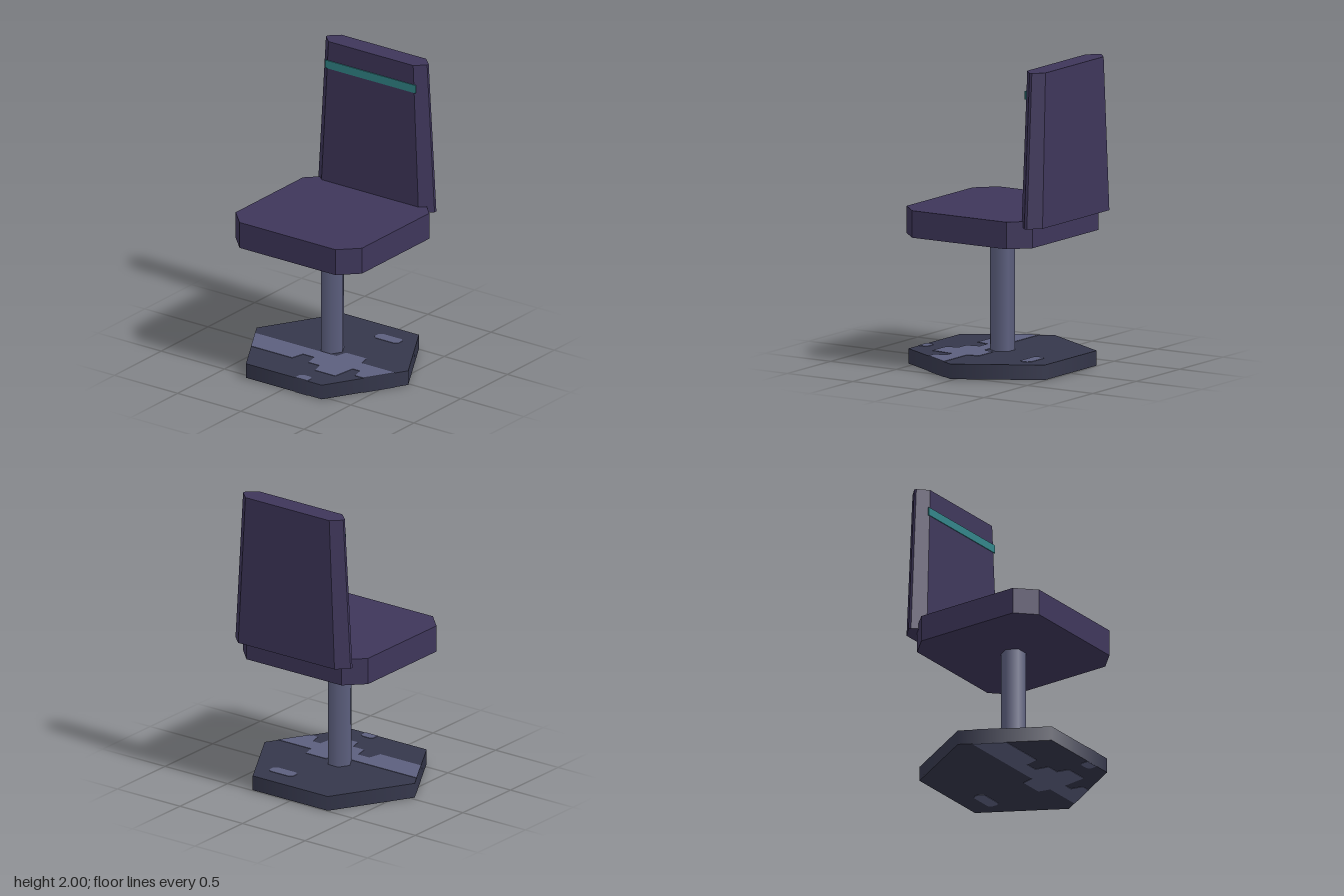
import * as THREE from 'three';

const mat = (name, color) => {
  const m = new THREE.MeshStandardMaterial({ color });
  m.name = name;
  return m;
};

// Upright prism from an outline of [x, z] points, standing on y0
function slab(points, y0, height) {
  const shape = new THREE.Shape(points.map(([x, z]) => new THREE.Vector2(x, -z)));
  const g = new THREE.ExtrudeGeometry(shape, { depth: height, bevelEnabled: false });
  g.rotateX(-Math.PI / 2);
  g.translate(0, y0, 0);
  return g;
}

// Rectangle outline with cut corners
function cutRect(x0, x1, z0, z1, cx, cz = cx) {
  return [
    [x0 + cx, z0], [x1 - cx, z0], [x1, z0 + cz], [x1, z1 - cz],
    [x1 - cx, z1], [x0 + cx, z1], [x0, z1 - cz], [x0, z0 + cz],
  ];
}

// Six-sided column with corners on the x axis
function hexColumn(radius, y0, y1) {
  const g = new THREE.CylinderGeometry(radius, radius, y1 - y0, 6, 1, false, Math.PI / 6);
  g.translate(0, (y0 + y1) / 2, 0);
  return g;
}

export function createModel() {
  const group = new THREE.Group();
  group.name = 'chair';
  const purple = mat('purple upholstery', 0x3e365a);
  const dark = mat('dark metal', 0x35374b);
  const light = mat('light metal', 0x5c5f7e);
  const teal = mat('teal trim', 0x328488);

  const add = (name, geometry, material, parent = group) => {
    const mesh = new THREE.Mesh(geometry, material);
    mesh.name = name;
    parent.add(mesh);
    return mesh;
  };

  // Seat cushion
  add('seat', slab(cutRect(-0.5, 0.5, -0.46, 0.5, 0.12), 0.865, 0.175), purple);

  // Backrest, tapering towards the top
  const back = slab(cutRect(-0.46, 0.46, -0.08, 0.08, 0.075, 0.07), 1, 1);
  const p = back.attributes.position;
  for (let i = 0; i < p.count; i++) {
    const s = 1 - 0.13 * (p.getY(i) - 1);
    p.setX(i, p.getX(i) * s);
    p.setZ(i, p.getZ(i) * s);
  }
  back.computeVertexNormals();
  add('backrest', back, purple).position.z = -0.46;

  // Trim across the backrest
  const trim = add('backrestTrim', new THREE.BoxGeometry(0.715, 0.054, 0.008), teal);
  trim.position.set(0, 1.843, -0.387);

  // Pedestal
  const pedestal = new THREE.Group();
  pedestal.name = 'pedestal';
  pedestal.position.z = 0.02;
  group.add(pedestal);
  add('post', hexColumn(0.08, 0.1, 0.87), light, pedestal);
  add('base', hexColumn(0.6, 0.003, 0.1), dark, pedestal);

  // Worn patches on the upper and lower faces of the base
  const patches = [
    [[-0.554, 0.08], [0.09, 0.08], [0.11, 0], [0.27, 0], [0.29, 0.08], [0.554, 0.08],
      [0.444, 0.27], [0.38, 0.27], [0.36, 0.19], [0.3, 0.19], [0.28, 0.35], [0.12, 0.35],
      [0.1, 0.27], [0.01, 0.27], [-0.01, 0.18], [-0.1, 0.18], [-0.12, 0.27], [-0.444, 0.27]],
    cutRect(0.09, 0.28, -0.39, -0.31, 0.02),
    [[0.09, 0.519], [0.09, 0.47], [0.11, 0.455], [0.165, 0.455], [0.185, 0.47], [0.185, 0.519]],
  ];
  for (const outline of patches) {
    add('basePatchTop', slab(outline, 0.1, 0.003), light, pedestal);
    add('basePatchBottom', slab(outline, 0, 0.003), light, pedestal);
  }

  return group;
}
